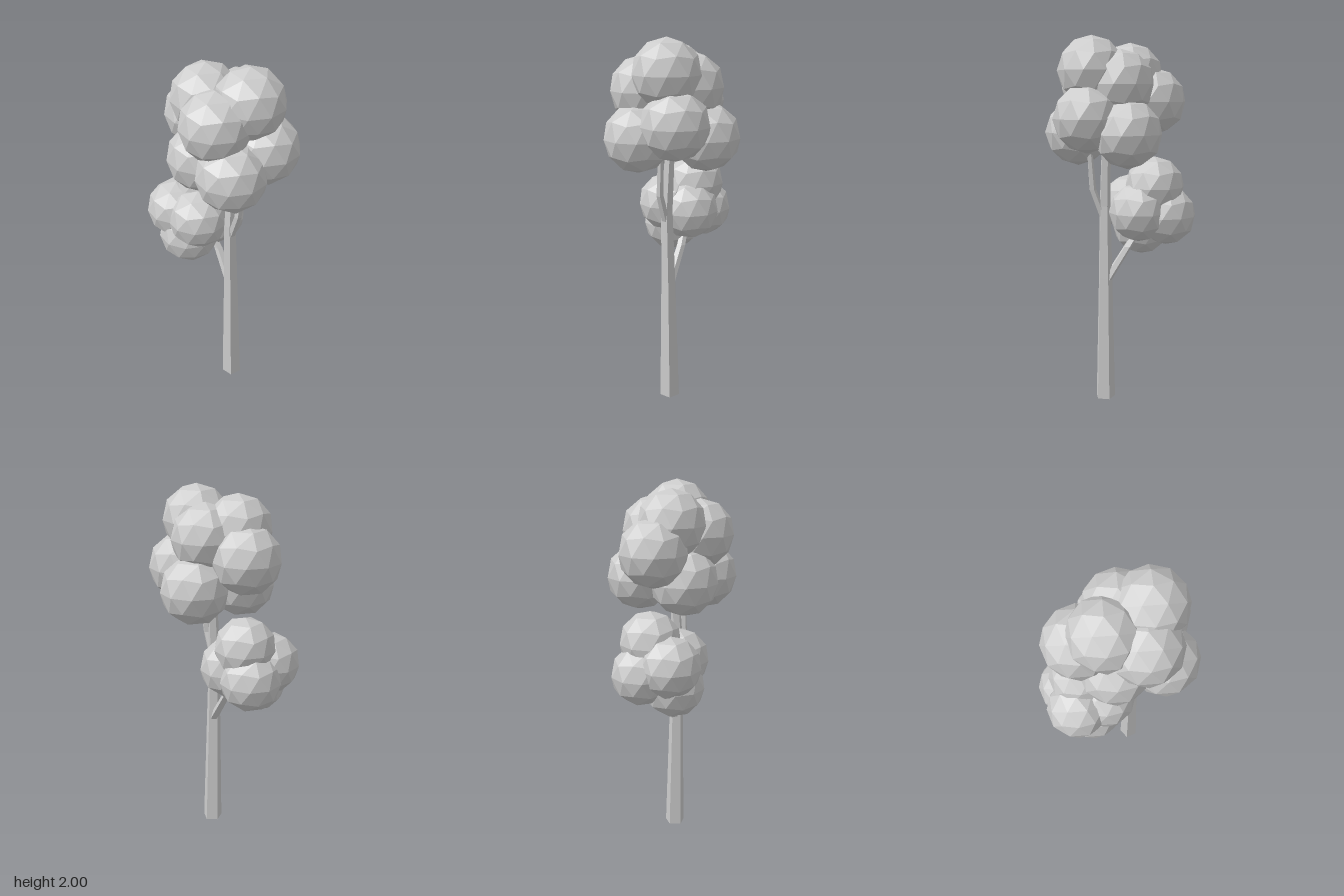
import * as THREE from 'three';

const material = new THREE.MeshStandardMaterial({ color: 0xcccccc, flatShading: true });

// Five-sided limb: each ring is [x, y, z, radius], listed from bottom to top
function limb(name, rings) {
  const geo = new THREE.CylinderGeometry(1, 1, 1, 5, rings.length - 1, false, Math.PI / 5);
  const pos = geo.attributes.position;
  for (let i = 0; i < pos.count; i++) {
    const [x, y, z, r] = rings[Math.round((pos.getY(i) + 0.5) * (rings.length - 1))];
    pos.setXYZ(i, x + pos.getX(i) * r, y, z + pos.getZ(i) * r);
  }
  geo.computeVertexNormals();
  const mesh = new THREE.Mesh(geo, material);
  mesh.name = name;
  return mesh;
}

// Cluster of faceted leaf balls sharing one radius
function foliage(name, radius, centres) {
  const group = new THREE.Group();
  group.name = name;
  const geo = new THREE.IcosahedronGeometry(radius, 1);
  geo.rotateZ(-Math.atan(2 / (1 + Math.sqrt(5)))); // a corner points straight up
  centres.forEach((c, i) => {
    const ball = new THREE.Mesh(geo, material);
    ball.name = `leafBall${i + 1}`;
    ball.position.set(...c);
    group.add(ball);
  });
  return group;
}

export function createModel() {
  const tree = new THREE.Group();
  tree.name = 'tree';

  // Trunk and branches
  tree.add(
    limb('trunk', [
      [0.099, 0, 0.029, 0.056],
      [0.093, 0.7, 0.036, 0.04],
      [0.09, 1.1, 0.043, 0.032],
      [0.09, 1.5, 0.02, 0.025],
    ]),
    limb('leftBranch', [
      [0.1, 1.04, 0.046, 0.022],
      [0.155, 1.19, 0.058, 0.02],
      [0.178, 1.42, 0.045, 0.015],
    ]),
    limb('rightBranch', [
      [0.088, 0.68, 0.03, 0.028],
      [-0.03, 0.87, 0.0, 0.024],
      [-0.14, 1.02, 0.0, 0.018],
    ])
  );

  // Large crown on top
  tree.add(foliage('upperCrown', 0.18, [
    [0.177, 1.82, 0.01],
    [-0.065, 1.79, 0.048],
    [0.093, 1.73, 0.16],
    [-0.17, 1.66, -0.015],
    [-0.04, 1.497, 0.112],
    [0.194, 1.497, 0.16],
    [0.229, 1.575, -0.05],
    [0.05, 1.497, -0.16],
    [0.05, 1.75, -0.07],
  ]));

  // Small crown on the side branch
  tree.add(foliage('lowerCrown', 0.165, [
    [-0.245, 1.095, 0.095],
    [-0.09, 1.095, 0.095],
    [-0.08, 1.065, -0.03],
    [-0.163, 0.966, 0.093],
    [-0.178, 1.2, -0.03],
    [-0.237, 1.04, -0.058],
  ]));

  return tree;
}
